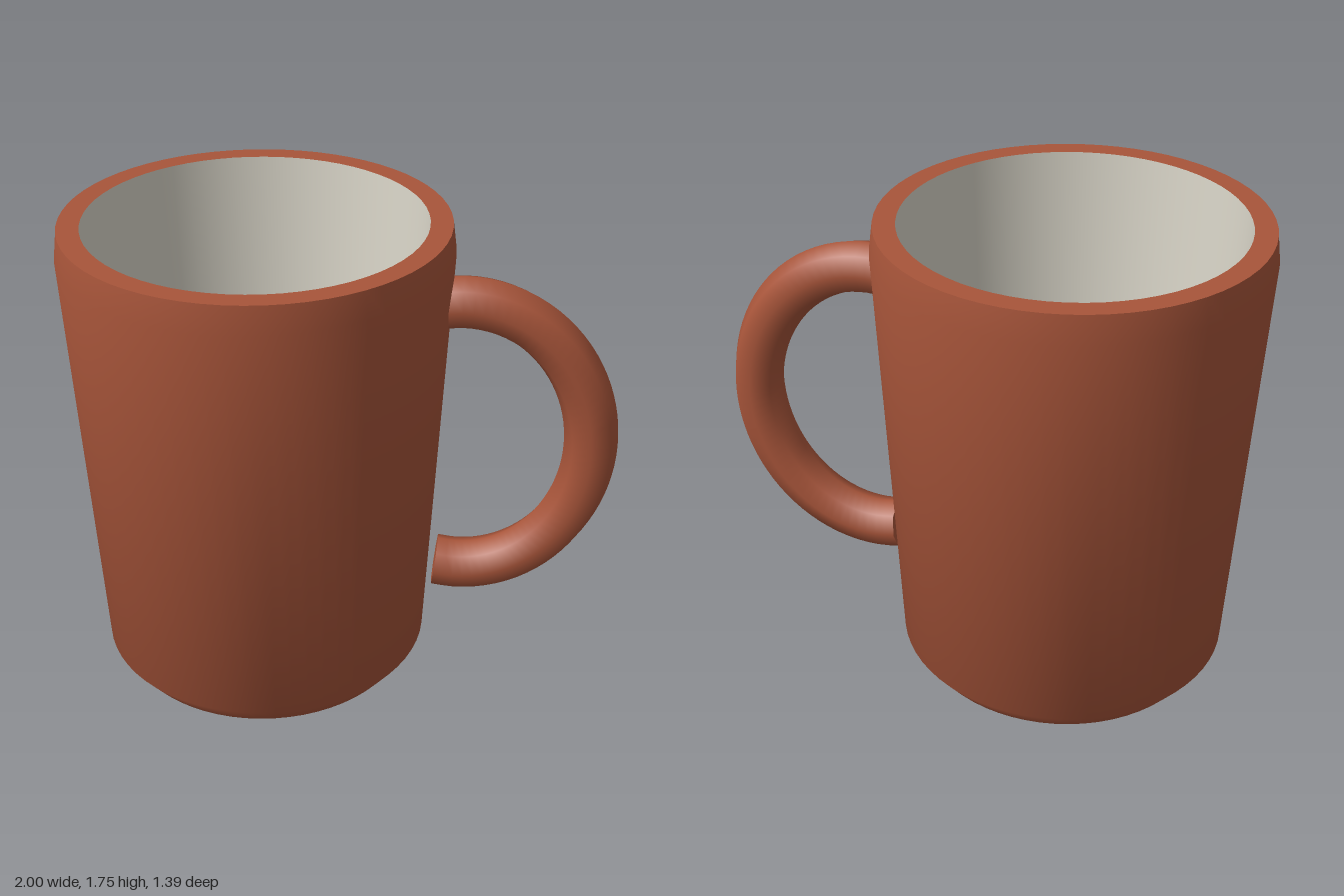
import * as THREE from 'three';
import { toCreasedNormals } from 'three/addons/utils/BufferGeometryUtils.js';

const CLAY = 0xa8553a;
const CREAM = 0xd9d5c8;
const AXIS_X = -0.305;

function mesh(name, geometry, color) {
  const m = new THREE.Mesh(geometry, new THREE.MeshStandardMaterial({ color }));
  m.name = name;
  return m;
}

function lathe(points) {
  const profile = points.map(([r, y]) => new THREE.Vector2(r, y));
  return toCreasedNormals(new THREE.LatheGeometry(profile, 64), 0.65);
}

export function createModel() {
  const group = new THREE.Group();
  group.name = 'mug';

  // Outer wall: base, chamfered foot, tapered side, lip and flat rim
  const body = mesh('body', lathe([
    [0, 0], [0.55, 0], [0.613, 0.08], [0.695, 1.655], [0.682, 1.755], [0.603, 1.755],
  ]), CLAY);
  body.position.x = AXIS_X;

  // Glazed inside: tapered wall and floor
  const interior = mesh('interior', lathe([[0.603, 1.755], [0.52, 0.12], [0, 0.12]]), CREAM);
  interior.position.x = AXIS_X;
  group.add(body, interior);

  // Handle: a tube along slightly more than half an ellipse
  const radius = 0.097, overrun = 0.17, steps = 24;
  const path = new THREE.CatmullRomCurve3(Array.from({ length: steps + 1 }, (_, i) => {
    const a = (Math.PI / 2 + overrun) * (1 - 2 * i / steps);
    return new THREE.Vector3(0.43 + 0.472 * Math.cos(a), 0.93 + 0.55 * Math.sin(a), 0);
  }));
  const handle = new THREE.Group();
  handle.name = 'handle';
  handle.add(mesh('handleTube', new THREE.TubeGeometry(path, 48, radius, 8), CLAY));

  // Flat caps on the two handle ends
  for (const t of [0, 1]) {
    const cap = mesh(t ? 'lowerHandleEnd' : 'upperHandleEnd', new THREE.CircleGeometry(radius, 8), CLAY);
    const end = path.getPointAt(t);
    cap.position.copy(end);
    cap.lookAt(end.clone().addScaledVector(path.getTangentAt(t), t ? 1 : -1));
    handle.add(cap);
  }
  group.add(handle);
  return group;
}
